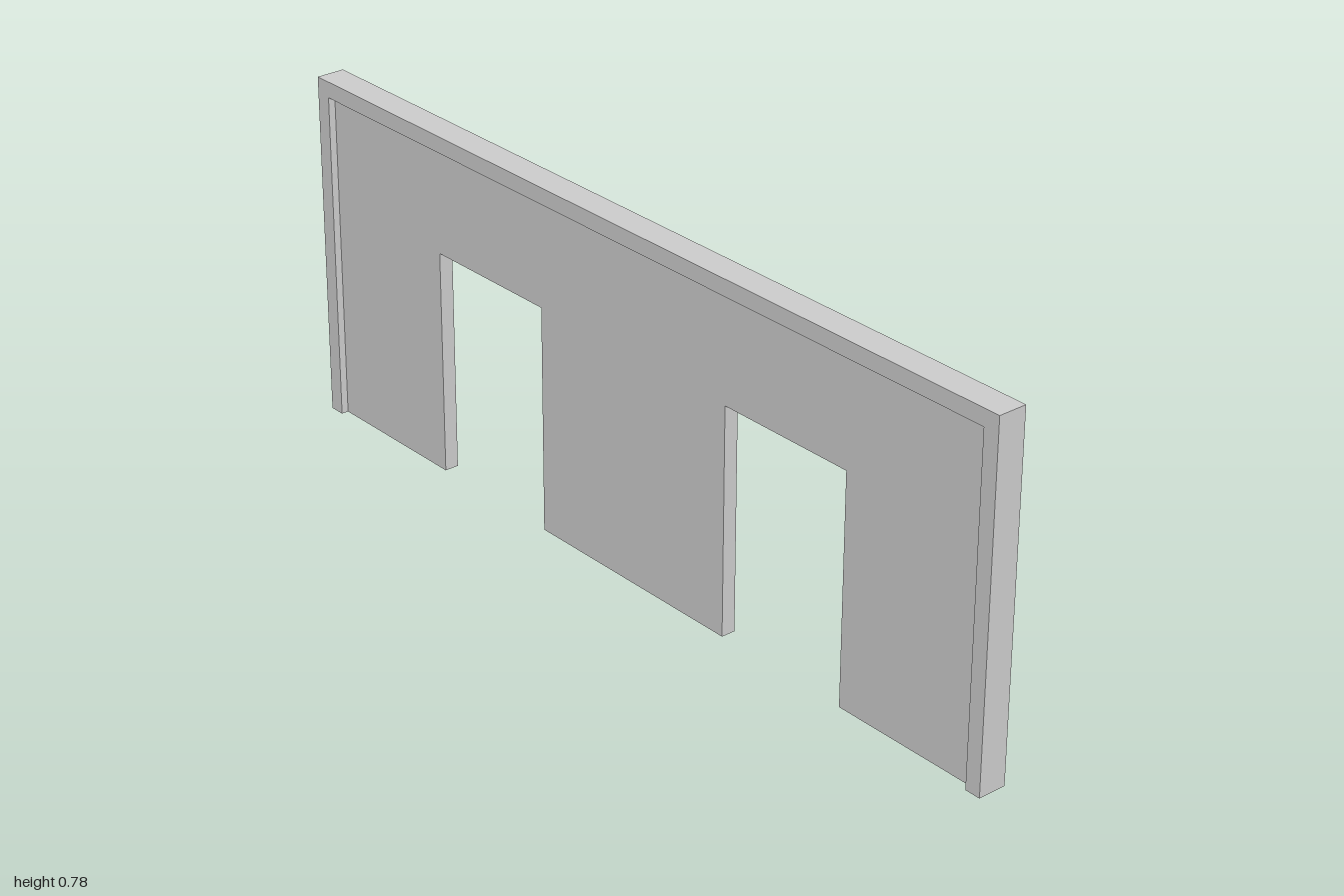
import * as THREE from 'three';

const HEIGHT = 0.778, BORDER = 0.036;
const FRAME_DEPTH = 0.064, PANEL_DEPTH = 0.032;
const DOOR_INNER = 0.277, DOOR_OUTER = 0.611, DOOR_HEIGHT = 0.505;

// Extrudes an outline (drawn in x, y) to a depth centred on z = 0.
function slab(name, points, depth, material) {
  const shape = new THREE.Shape(points.map(([x, y]) => new THREE.Vector2(x, y)));
  const geometry = new THREE.ExtrudeGeometry(shape, { depth, bevelEnabled: false });
  geometry.translate(0, 0, -depth / 2);
  const mesh = new THREE.Mesh(geometry, material);
  mesh.name = name;
  return mesh;
}

// Completes a right-hand half outline with its mirror image.
function mirrored(half) {
  return [...half, ...half.map(([x, y]) => [-x, y]).reverse()];
}

export function createModel() {
  const group = new THREE.Group();
  group.name = 'wallWithDoorways';
  const material = new THREE.MeshStandardMaterial({ color: 0xcccccc, flatShading: true });
  const innerX = 1 - BORDER, innerY = HEIGHT - BORDER;

  // Raised border along both ends and the top
  group.add(slab('borderFrame', mirrored([
    [innerX, innerY], [innerX, 0], [1, 0], [1, HEIGHT],
  ].reverse()), FRAME_DEPTH, material));

  // Thinner wall panel, recessed on both faces, with two doorways
  group.add(slab('wallPanel', mirrored([
    [DOOR_INNER, 0], [DOOR_INNER, DOOR_HEIGHT], [DOOR_OUTER, DOOR_HEIGHT],
    [DOOR_OUTER, 0], [innerX, 0], [innerX, innerY],
  ]), PANEL_DEPTH, material));

  return group;
}
